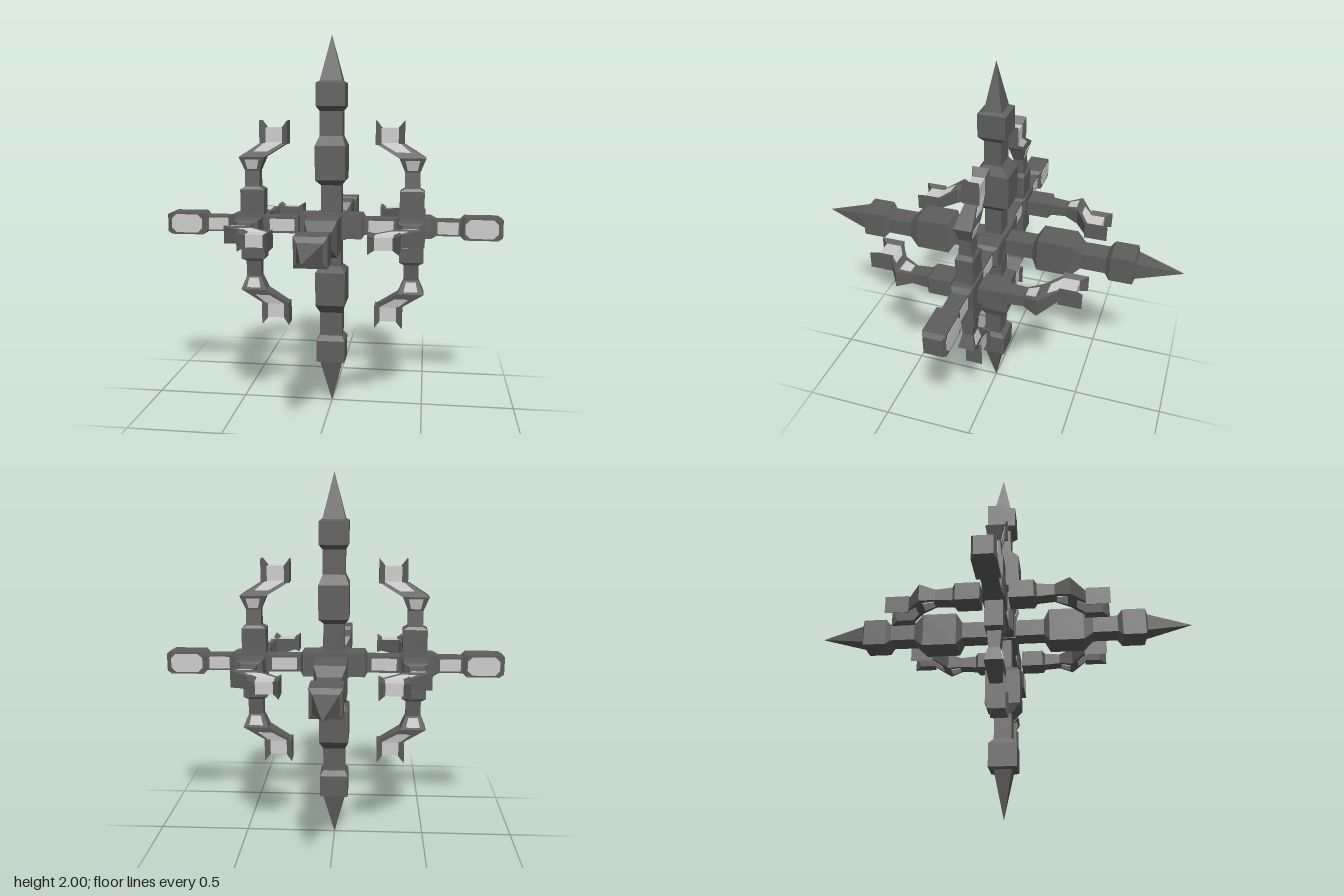
import * as THREE from 'three';

const dark = new THREE.MeshStandardMaterial({ color: 0x5e5e5e });
dark.name = 'darkGreyHull';
const light = new THREE.MeshStandardMaterial({ color: 0xcccccc });
light.name = 'paleGreyPanel';

// Flat-faced solid through a series of four-cornered rings
function loft(rings) {
  const pos = [];
  const tri = (...pts) => pts.forEach((p) => pos.push(...p));
  for (let r = 0; r < rings.length - 1; r++) {
    const a = rings[r], b = rings[r + 1];
    for (let i = 0; i < 4; i++) {
      const j = (i + 1) % 4;
      tri(a[i], a[j], b[j]);
      tri(a[i], b[j], b[i]);
    }
  }
  const s = rings[0], e = rings[rings.length - 1];
  tri(s[0], s[2], s[1]); tri(s[0], s[3], s[2]);
  tri(e[0], e[1], e[2]); tri(e[0], e[2], e[3]);
  const g = new THREE.BufferGeometry();
  g.setAttribute('position', new THREE.Float32BufferAttribute(pos, 3));
  g.computeVertexNormals();
  return g;
}

// Ring across y: from x0 to x1, half depth hz
const ringY = ([y, x0, x1, hz]) => [[x0, y, hz], [x1, y, hz], [x1, y, -hz], [x0, y, -hz]];
// Ring across x: from y0 to y1, half depth hz
const ringX = ([x, y0, y1, hz]) => [[x, y0, hz], [x, y0, -hz], [x, y1, -hz], [x, y1, hz]];
const loftY = (list) => loft(list.map(ringY));
const loftX = (list) => loft(list.map(ringX));

function add(parent, name, geometry, material) {
  const m = new THREE.Mesh(geometry, material);
  m.name = name;
  parent.add(m);
  return m;
}

// Long arm with two collars and a pointed tip
function spikeArm() {
  const g = new THREE.Group();
  g.name = 'spikeArm';
  const profile = [
    [0, 0.055, 0.045], [0.22, 0.055, 0.045], [0.25, 0.08, 0.09], [0.43, 0.08, 0.09],
    [0.48, 0.06, 0.045], [0.61, 0.06, 0.045], [0.635, 0.077, 0.072], [0.755, 0.077, 0.072],
    [0.765, 0.06, 0.045],
  ];
  add(g, 'armShaft', loftY(profile.map(([y, hx, hz]) => [y, -hx, hx, hz])), dark);
  add(g, 'armTip', loftY([[0.765, -0.06, 0.06, 0.045], [1, -0.0005, 0.0005, 0.0005]]), dark);
  return g;
}

// Docking claw: collar, neck, elbow, slanted link and open clamp
function clawArm(start) {
  const g = new THREE.Group();
  g.name = 'clawArm';
  add(g, 'clawNeck', loftY([
    [start, 0.365, 0.495, 0.045], [0.19, 0.365, 0.495, 0.045], [0.205, 0.39, 0.47, 0.035],
    [0.29, 0.39, 0.47, 0.028], [0.365, 0.36, 0.5, 0.045],
  ]), dark);
  add(g, 'elbowWindow', loftY([[0.3, 0.404, 0.456, 0.034], [0.352, 0.392, 0.468, 0.046]]), light);
  add(g, 'clawLink', loftY([[0.365, 0.36, 0.5, 0.045], [0.44, 0.235, 0.385, 0.03]]), dark);
  add(g, 'clampPad', loftY([
    [0.395, 0.345, 0.42, 0.041], [0.445, 0.26, 0.36, 0.031], [0.522, 0.26, 0.36, 0.031],
  ]), light);
  add(g, 'innerFlange', loftX([[0.235, 0.435, 0.56, 0.045], [0.266, 0.435, 0.522, 0.03]]), dark);
  add(g, 'outerFlange', loftX([[0.352, 0.44, 0.522, 0.03], [0.385, 0.44, 0.56, 0.045]]), dark);
  return g;
}

// Plate with cut corners, showing on both faces of the beam
function cutPlate(x0, x1, h, c, depth) {
  const s = new THREE.Shape([
    [x0 + c, -h], [x1 - c, -h], [x1, -h + c], [x1, h - c],
    [x1 - c, h], [x0 + c, h], [x0, h - c], [x0, -h + c],
  ].map(([x, y]) => new THREE.Vector2(x, y)));
  return new THREE.ExtrudeGeometry(s, { depth, bevelEnabled: false }).translate(0, 0, -depth / 2);
}

// Side beam with pale panels and four claws around it
function sideWing() {
  const g = new THREE.Group();
  g.name = 'sideWing';
  const profile = [
    [0, 0.065, 0.065], [0.165, 0.065, 0.065], [0.18, 0.045, 0.042], [0.35, 0.045, 0.042],
    [0.37, 0.057, 0.055], [0.53, 0.057, 0.055], [0.56, 0.042, 0.042], [0.685, 0.042, 0.042],
    [0.705, 0.06, 0.057], [0.88, 0.06, 0.057], [0.905, 0.047, 0.045],
  ];
  add(g, 'sideBeam', loftX(profile.map(([x, hy, hz]) => [x, -hy, hy, hz])), dark);
  for (const [x0, x1] of [[0.2, 0.335], [0.565, 0.675]])
    add(g, 'beamPanel', cutPlate(x0, x1, 0.033, 0.004, 0.088), light);
  add(g, 'endPanel', cutPlate(0.71, 0.88, 0.05, 0.025, 0.118), light);
  for (let k = 0; k < 4; k++) {
    const claw = clawArm(k % 2 ? 0.07 : 0.03);
    claw.rotation.x = (k * Math.PI) / 2;
    g.add(claw);
  }
  return g;
}

export function createModel() {
  const model = new THREE.Group();
  model.name = 'spaceStation';
  const body = new THREE.Group();
  body.name = 'stationBody';
  body.position.y = 1;
  model.add(body);

  add(body, 'centralHub', new THREE.BoxGeometry(0.16, 0.14, 0.14), dark);
  for (let k = 0; k < 4; k++) {
    const arm = spikeArm();
    arm.rotation.x = (k * Math.PI) / 2;
    body.add(arm);
  }
  for (const turn of [0, Math.PI]) {
    const wing = sideWing();
    wing.rotation.y = turn;
    body.add(wing);
  }
  return model;
}
